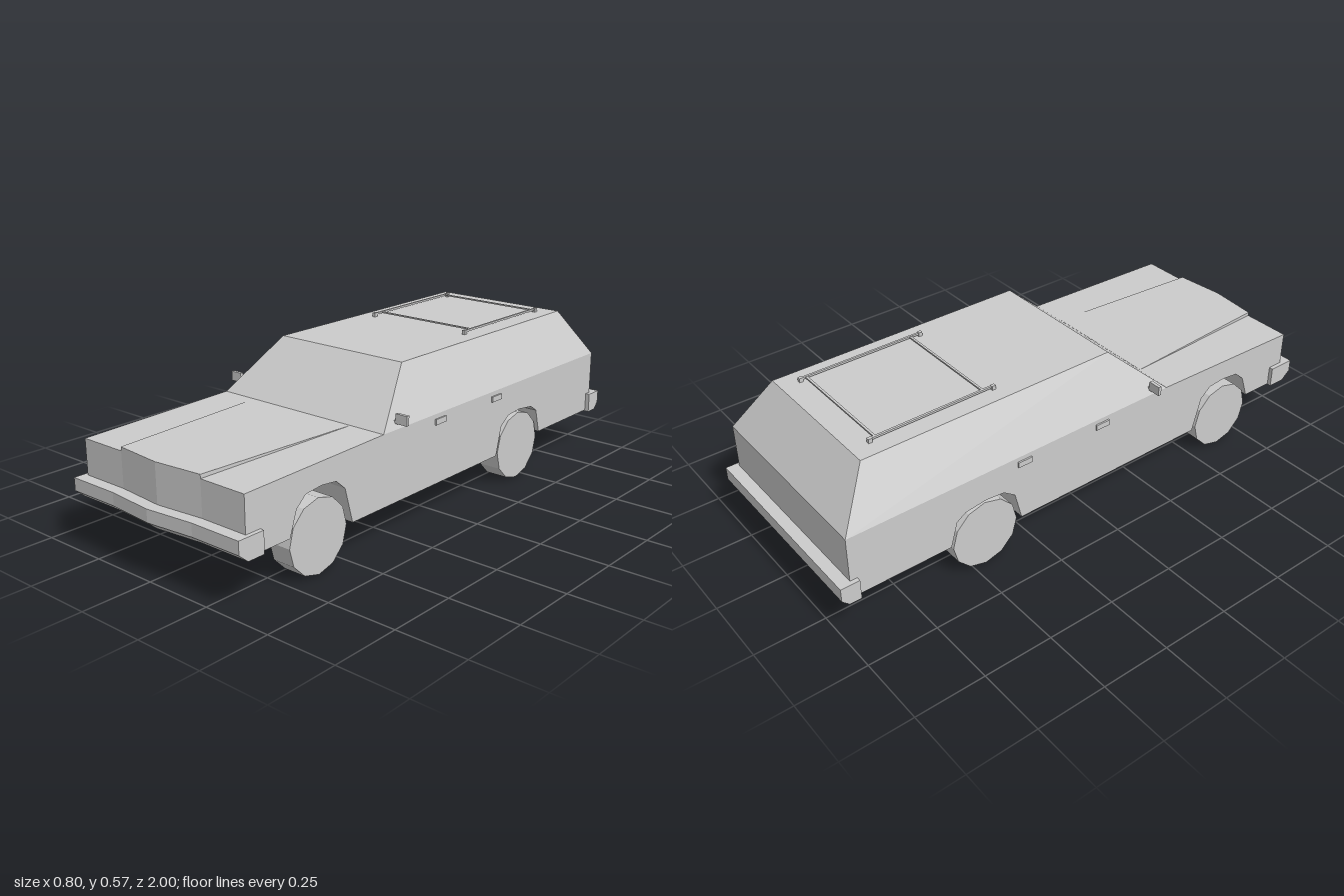
import * as THREE from 'three';

const material = new THREE.MeshStandardMaterial({ color: 0xcccccc, flatShading: true });

function addMesh(parent, name, geometry, x = 0, y = 0, z = 0) {
  const mesh = new THREE.Mesh(geometry, material);
  mesh.name = name;
  mesh.position.set(x, y, z);
  parent.add(mesh);
  return mesh;
}

// Box given by its two corners
function addBox(parent, name, [x0, y0, z0], [x1, y1, z1]) {
  const geometry = new THREE.BoxGeometry(Math.abs(x1 - x0), y1 - y0, Math.abs(z1 - z0));
  return addMesh(parent, name, geometry, (x0 + x1) / 2, (y0 + y1) / 2, (z0 + z1) / 2);
}

// Solid across the car: profile(x) gives counter-clockwise [z, y] points at each x station
function loftAcross(xs, profile) {
  const rings = xs.map((x) => profile(x).map(([z, y]) => [x, y, z]));
  const out = [];
  const n = rings[0].length;
  for (let s = 0; s < xs.length - 1; s++) {
    for (let i = 0; i < n; i++) {
      const j = (i + 1) % n;
      const a0 = rings[s][i], b0 = rings[s][j], a1 = rings[s + 1][i], b1 = rings[s + 1][j];
      out.push(...b0, ...a0, ...a1, ...b0, ...a1, ...b1);
    }
  }
  const contour = profile(xs[0]).map(([z, y]) => new THREE.Vector2(z, y));
  const last = rings[rings.length - 1];
  for (const [a, b, c] of THREE.ShapeUtils.triangulateShape(contour, [])) {
    out.push(...rings[0][a], ...rings[0][b], ...rings[0][c]);
    out.push(...last[c], ...last[b], ...last[a]);
  }
  const geometry = new THREE.BufferGeometry();
  geometry.setAttribute('position', new THREE.Float32BufferAttribute(out, 3));
  geometry.computeVertexNormals();
  return geometry;
}

// The nose comes to a shallow point in the middle
const point = (x) => 0.017 * Math.max(0, 1 - Math.abs(x) / 0.18);
const noseZ = (x) => 0.938 + point(x);

const rearArch = [[-0.59, 0.145], [-0.565, 0.235], [-0.53, 0.258], [-0.45, 0.268], [-0.38, 0.262], [-0.335, 0.23], [-0.308, 0.125]];
const frontArch = [[0.48, 0.125], [0.515, 0.25], [0.555, 0.285], [0.62, 0.292], [0.69, 0.285], [0.73, 0.25], [0.76, 0.165]];

function bodyProfile(x, rear, front) {
  return [[-0.958, 0.145], ...rear, ...front, [noseZ(x), 0.165], [noseZ(x), 0.362], [0.33, 0.375], [-0.958, 0.375]];
}

function createBody(car) {
  // Flat-bottomed centre between the wheel wells
  const ends = (arch) => [arch[0], arch[arch.length - 1]];
  addMesh(car, 'bodyCentre', loftAcross([-0.21, -0.18, 0, 0.18, 0.21],
    (x) => bodyProfile(x, ends(rearArch), ends(frontArch))));
  // Outer sides with wheel arches
  for (const [name, xs] of [['leftBodySide', [0.21, 0.36]], ['rightBodySide', [-0.36, -0.21]]]) {
    addMesh(car, name, loftAcross(xs, (x) => bodyProfile(x, rearArch, frontArch)));
  }
  // Raised middle of the hood, widening towards the windshield
  const plan = new THREE.Shape([[-0.18, -0.938], [0, -0.955], [0.18, -0.938], [0.22, -0.335], [-0.22, -0.335]]
    .map(([x, y]) => new THREE.Vector2(x, y)));
  const hood = new THREE.ExtrudeGeometry(plan, { depth: 0.0135, bevelEnabled: false });
  addMesh(car, 'hoodPanel', hood.rotateX(-Math.PI / 2), 0, 0.362, 0);
}

// Cabin: a box tapered on all four sides
function createCabin(car) {
  const geometry = new THREE.BoxGeometry(2, 1, 2);
  const p = geometry.attributes.position;
  for (let i = 0; i < p.count; i++) {
    const top = p.getY(i) > 0;
    const front = p.getZ(i) > 0;
    p.setXYZ(i, p.getX(i) * (top ? 0.27 : 0.36), top ? 0.553 : 0.375,
      front ? (top ? 0.13 : 0.33) : (top ? -0.835 : -0.958));
  }
  geometry.computeVertexNormals();
  addMesh(car, 'cabin', geometry);
}

function createBumpers(car) {
  addMesh(car, 'frontBumper', loftAcross([-0.375, -0.18, 0, 0.18, 0.375], (x) => {
    const z = 0.98 + point(x);
    return [[0.88, 0.163], [z - 0.035, 0.163], [z, 0.193], [z, 0.238], [0.88, 0.238]];
  }));
  addMesh(car, 'rearBumper', loftAcross([-0.376, 0.376], () =>
    [[-0.975, 0.141], [-0.932, 0.141], [-0.932, 0.213], [-1, 0.213], [-1, 0.165]]));
}

function createRoofRack(car) {
  const rack = new THREE.Group();
  rack.name = 'roofRack';
  car.add(rack);
  for (const s of [-1, 1]) {
    addBox(rack, 'rackRail', [s * 0.204, 0.56, -0.765], [s * 0.212, 0.567, -0.305]);
    for (const z of [-0.765, -0.305]) {
      addBox(rack, 'rackFoot', [s * 0.203, 0.55, z - 0.007], [s * 0.215, 0.568, z + 0.007]);
    }
  }
  for (const z of [-0.745, -0.345]) {
    addBox(rack, 'rackCrossbar', [-0.206, 0.561, z - 0.004], [0.206, 0.566, z + 0.004]);
  }
}

export function createModel() {
  const car = new THREE.Group();
  car.name = 'stationWagon';
  createBody(car);
  createCabin(car);
  createBumpers(car);
  createRoofRack(car);

  // Parts mirrored on both sides
  const wheel = new THREE.CylinderGeometry(0.127, 0.127, 0.084, 12).rotateZ(Math.PI / 2);
  for (const [side, s] of [['left', 1], ['right', -1]]) {
    addMesh(car, side + 'FrontWheel', wheel, s * 0.312, 0.127, 0.63);
    addMesh(car, side + 'RearWheel', wheel, s * 0.312, 0.127, -0.452);
    for (const z of [0.035, -0.295]) {
      addBox(car, side + 'DoorHandle', [s * 0.355, 0.338, z - 0.028], [s * 0.366, 0.358, z + 0.028]);
    }
    addBox(car, side + 'Mirror', [s * 0.354, 0.393, 0.252], [s * 0.4, 0.427, 0.264]);
    addBox(car, side + 'MirrorArm', [s * 0.335, 0.393, 0.254], [s * 0.356, 0.403, 0.262]);
  }
  return car;
}
